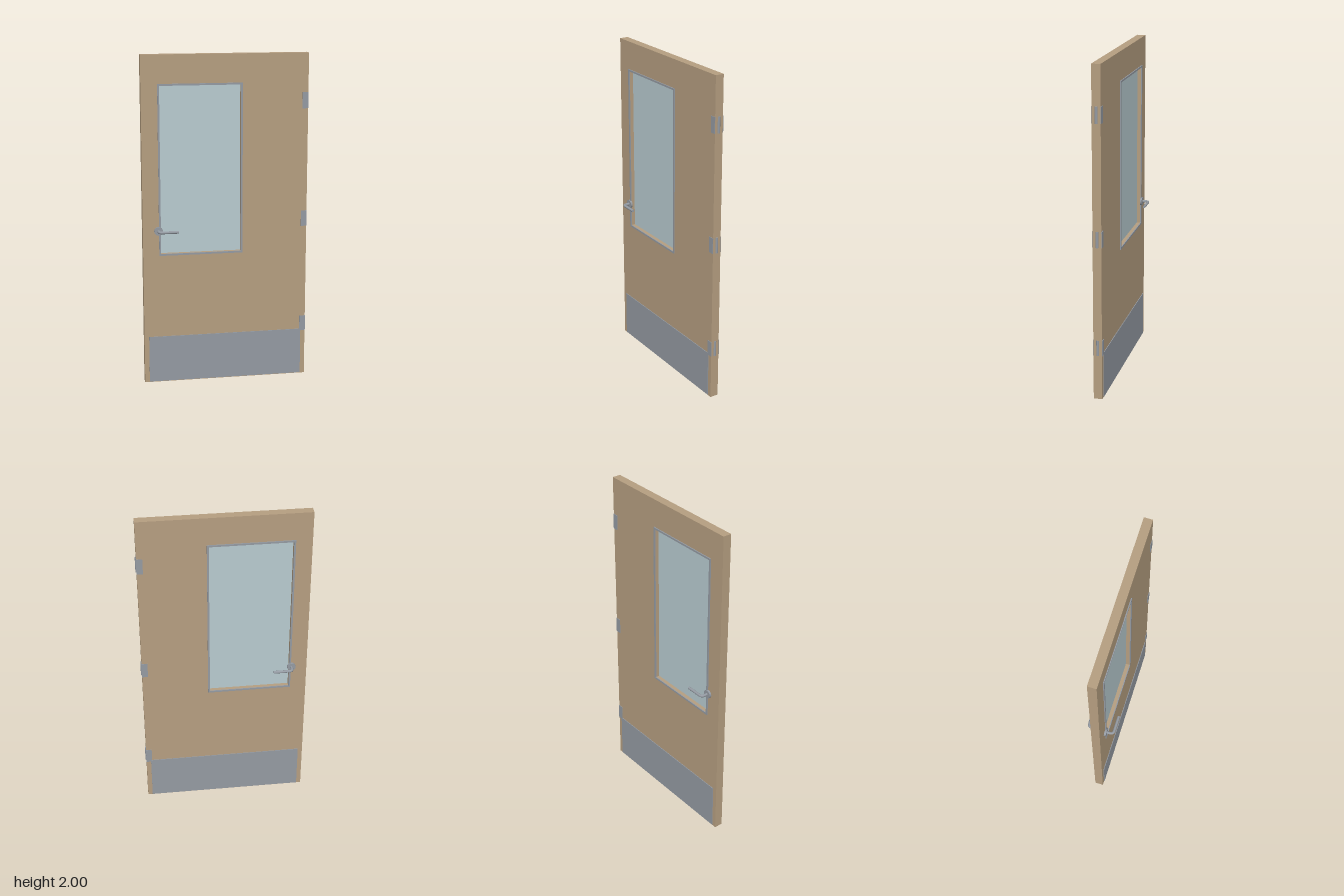
import * as THREE from 'three';

export function createModel() {
  const door = new THREE.Group();
  door.name = 'door';
  const mat = (name, color) => {
    const m = new THREE.MeshStandardMaterial({ color });
    m.name = name;
    return m;
  };
  const wood = mat('wood', 0xb59e80);
  const steel = mat('steel', 0x949aa2);
  const glass = mat('glass', 0xb8cbd0);

  const T = 0.026; // half thickness of the leaf
  const X0 = -0.504, X1 = 0.498;
  const win = [-0.396, 0.811, 0.089, 1.819]; // opening: x0, y0, x1, y1

  const add = (name, geometry, material, x = 0, y = 0, z = 0, parent = door) => {
    const mesh = new THREE.Mesh(geometry, material);
    mesh.name = name;
    mesh.position.set(x, y, z);
    parent.add(mesh);
    return mesh;
  };
  const rect = (Type, x0, y0, x1, y1) => new Type([
    new THREE.Vector2(x0, y0), new THREE.Vector2(x1, y0),
    new THREE.Vector2(x1, y1), new THREE.Vector2(x0, y1)]);
  const framed = (outer, inner, depth) => {
    const shape = rect(THREE.Shape, ...outer);
    shape.holes.push(rect(THREE.Path, ...inner));
    return new THREE.ExtrudeGeometry(shape, { depth, bevelEnabled: false });
  };

  // Leaf with its window opening, and the pane set in the middle
  add('doorLeaf', framed([X0, 0, X1, 2], win, 2 * T), wood, 0, 0, -T);
  add('windowPane', new THREE.BoxGeometry(win[2] - win[0], win[3] - win[1], 0.008), glass,
    (win[0] + win[2]) / 2, (win[1] + win[3]) / 2, 0);

  // Lever path: out from the leaf, round a bend, then along it
  const lever = new THREE.CurvePath();
  const v = (x, z) => new THREE.Vector3(x, 0, z);
  lever.add(new THREE.LineCurve3(v(0, 0), v(0, 0.056)));
  lever.add(new THREE.QuadraticBezierCurve3(v(0, 0.056), v(0, 0.077), v(0.021, 0.077)));
  lever.add(new THREE.LineCurve3(v(0.021, 0.077), v(0.115, 0.077)));

  // Fittings repeated on both faces
  for (const [side, s] of [['front', 1], ['back', -1]]) {
    const trim = [win[0] - 0.011, win[1] - 0.011, win[2] + 0.011, win[3] + 0.011];
    add(side + 'WindowTrim', framed(trim, win, 0.006), steel, 0, 0, s > 0 ? T : -T - 0.006);
    add(side + 'KickPlate', new THREE.BoxGeometry(0.946, 0.287, 0.004), steel, -0.003, 0.1475, s * (T + 0.002));

    const handle = new THREE.Group();
    handle.name = side + 'Handle';
    handle.position.set(-0.41, 0.953, 0);
    door.add(handle);
    const rose = add('rose', new THREE.CylinderGeometry(0.026, 0.026, 0.012, 32), steel, 0, 0, s * (T + 0.006), handle);
    rose.rotation.x = Math.PI / 2;
    // Turning half round z's mirror: a half turn about x carries the lever to the back
    const bar = add('lever', new THREE.TubeGeometry(lever, 48, 0.0085, 16, false), steel, 0, 0, 0, handle);
    if (s < 0) bar.rotation.x = Math.PI;
    const cap = add('leverEnd', new THREE.CircleGeometry(0.0085, 16), steel, 0.115, 0, s * 0.077, handle);
    cap.rotation.y = Math.PI / 2;
  }

  // Three hinges: a leaf on each face and a knuckle on the edge
  for (const y of [0.328, 0.998, 1.718]) {
    const hinge = new THREE.Group();
    hinge.name = 'hinge';
    hinge.position.y = y;
    door.add(hinge);
    for (const s of [1, -1]) {
      add('hingePlate', new THREE.BoxGeometry(0.036, 0.096, 0.003), steel, 0.481, 0, s * (T + 0.0015), hinge);
    }
    add('hingeKnuckle', new THREE.CylinderGeometry(0.009, 0.009, 0.096, 20), steel, 0.495, 0, 0, hinge);
  }
  return door;
}
